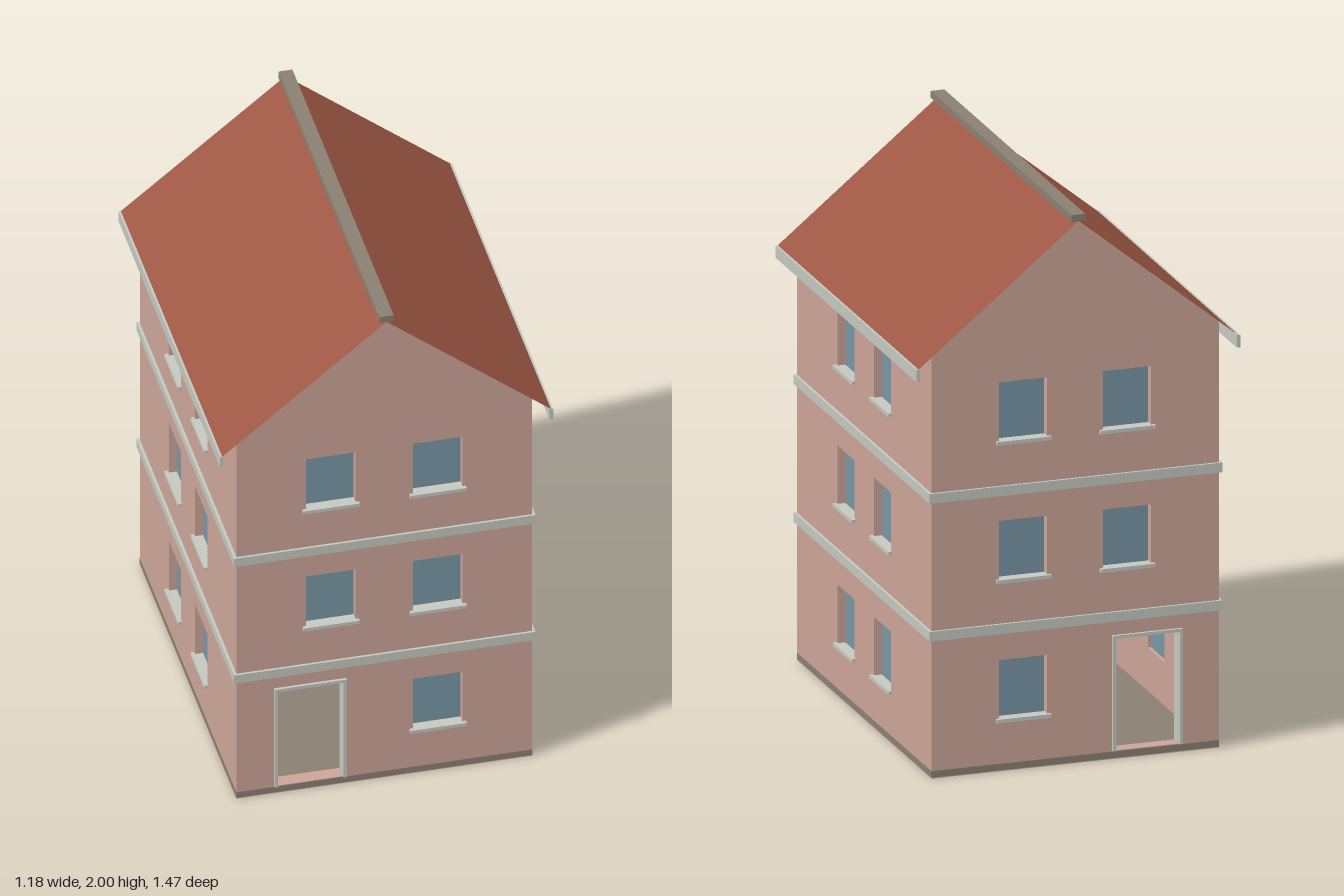
import * as THREE from 'three';

const mat = (name, color) => {
  const m = new THREE.MeshStandardMaterial({ color });
  m.name = name;
  return m;
};

export function createModel() {
  const plaster = mat('pink plaster', 0xcba498);
  const glass = mat('blue glass', 0x7795a3);
  const trim = mat('pale trim', 0xc4c8c0);
  const stone = mat('grey stone', 0x8a8072);
  const tile = mat('roof tile', 0x9e5844);
  tile.side = THREE.DoubleSide;

  const house = new THREE.Group();
  house.name = 'house';

  const HALF_X = 0.525, HALF_Z = 0.7, WALL = 0.05, EAVE = 1.545, APEX = 1.97;
  const WIN_W = 0.175, WIN_H = 0.218, SILLS = [0.185, 0.69, 1.192];

  const box = (parent, name, material, size, pos) => {
    const m = new THREE.Mesh(new THREE.BoxGeometry(...size), material);
    m.name = name;
    m.position.set(...pos);
    parent.add(m);
    return m;
  };

  const rectHole = (x0, y0, x1, y1) => new THREE.Path([
    new THREE.Vector2(x0, y0), new THREE.Vector2(x0, y1),
    new THREE.Vector2(x1, y1), new THREE.Vector2(x1, y0),
  ]);

  // One wall facing +z, with its openings, glass and sills, then turned into place
  const addWall = (name, halfWidth, distance, angle, gable, doorX) => {
    const side = new THREE.Group();
    side.name = name;
    const outline = [[-halfWidth, 0], [halfWidth, 0], [halfWidth, EAVE]];
    if (gable) outline.push([0, APEX]);
    outline.push([-halfWidth, EAVE]);
    const shape = new THREE.Shape(outline.map(([x, y]) => new THREE.Vector2(x, y)));

    for (const y of SILLS) for (const x of [-0.19, 0.19]) {
      if (doorX && y === SILLS[0] && Math.sign(x) === Math.sign(doorX)) continue;
      shape.holes.push(rectHole(x - WIN_W / 2, y, x + WIN_W / 2, y + WIN_H));
      box(side, 'windowPane', glass, [WIN_W, WIN_H, 0.009], [x, y + WIN_H / 2, distance - 0.034]);
      box(side, 'windowSill', trim, [0.2, 0.013, 0.042], [x, y, distance - 0.007]);
    }

    if (doorX) {
      const w = 0.232, y0 = 0.03, y1 = 0.437, f = 0.012, z = distance - 0.02;
      shape.holes.push(rectHole(doorX - w / 2 - f / 2, y0, doorX + w / 2 + f / 2, y1 + f / 2));
      for (const s of [-1, 1]) {
        box(side, 'doorJamb', trim, [f, y1 - y0, 0.06], [doorX + s * (w + f) / 2, (y0 + y1) / 2, z]);
      }
      box(side, 'doorHead', trim, [w + 2 * f, f, 0.06], [doorX, y1 + f / 2, z]);
    }

    const geo = new THREE.ExtrudeGeometry(shape, { depth: WALL, bevelEnabled: false });
    const wall = new THREE.Mesh(geo, plaster);
    wall.name = 'wall';
    wall.position.z = distance - WALL;
    side.add(wall);
    side.rotation.y = angle;
    house.add(side);
  };

  addWall('frontWall', HALF_X, HALF_Z, 0, true, -0.263);
  addWall('backWall', HALF_X, HALF_Z, Math.PI, true, 0.263);
  addWall('leftWall', HALF_Z - WALL, HALF_X, Math.PI / 2, false, 0);
  addWall('rightWall', HALF_Z - WALL, HALF_X, -Math.PI / 2, false, 0);

  // Ground slab, showing as a low plinth, and the upper floors
  box(house, 'groundSlab', stone, [1.051, 0.024, 1.401], [0, 0.015, 0]);
  for (const y of [0.515, 1.015, 1.5]) {
    box(house, 'upperFloor', stone, [1.0, 0.03, 1.35], [0, y, 0]);
  }

  // String courses running around the house
  for (const y of [0.5175, 1.0175]) {
    for (const s of [-1, 1]) {
      box(house, 'stringCourse', trim, [1.07, 0.035, 0.02], [0, y, s * 0.699]);
      box(house, 'stringCourse', trim, [0.02, 0.035, 1.4], [s * 0.525, y, 0]);
    }
  }

  // Thin roof slopes with eaves boards
  const eaveX = 0.585, eaveY = 1.499, ridgeY = 1.976, roofLength = 1.47;
  for (const s of [-1, 1]) {
    const slope = new THREE.Mesh(
      new THREE.PlaneGeometry(Math.hypot(eaveX, ridgeY - eaveY), roofLength), tile);
    slope.geometry.rotateX(-Math.PI / 2);
    slope.name = 'roofSlope';
    slope.position.set(s * eaveX / 2, (eaveY + ridgeY) / 2, 0);
    slope.rotation.z = -s * Math.atan2(ridgeY - eaveY, eaveX);
    house.add(slope);
    box(house, 'eavesBoard', trim, [0.013, 0.045, roofLength], [s * 0.585, 1.4775, 0]);
  }
  box(house, 'ridgeCap', stone, [0.05, 0.025, roofLength], [0, 1.9875, 0]);

  return house;
}
